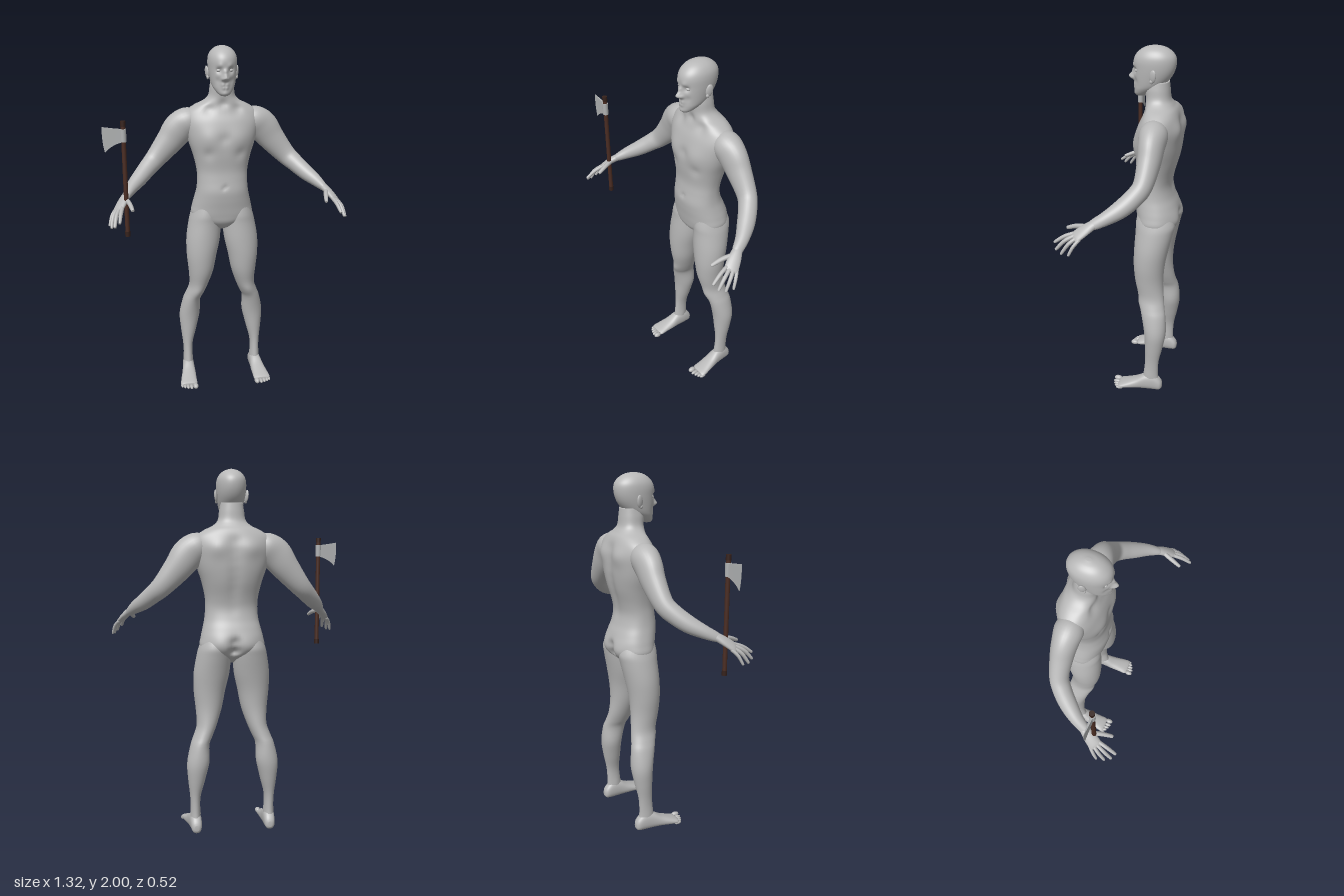
import * as THREE from 'three';

const V = (x, y, z) => new THREE.Vector3(x, y, z);
const paint = (name, color) => Object.assign(new THREE.MeshStandardMaterial({ color }), { name });

// Catmull-Rom interpolation of every column of a table of cross-sections
function refine(rows, sub) {
  const out = [], at = i => rows[Math.max(0, Math.min(rows.length - 1, i))];
  for (let i = 0; i < rows.length - 1; i++) for (let k = 0; k < sub; k++) {
    const t = k / sub;
    out.push(rows[i].map((b, j) => {
      const a = at(i - 1)[j], c = at(i + 1)[j], d = at(i + 2)[j];
      return b + 0.5 * t * (c - a + t * (2 * a - 5 * b + 4 * c - d + t * (3 * (b - c) + d - a)));
    }));
  }
  out.push(rows[rows.length - 1]);
  return out;
}

// Closed smooth skin over rings of points; faces always turned outwards
function skin(rings) {
  const n = rings[0].length, pts = rings.flat(), index = [];
  const mid = r => r.reduce((s, p) => s.add(p), V(0, 0, 0)).divideScalar(n);
  const first = pts.length, last = first + 1, end = (rings.length - 1) * n;
  pts.push(mid(rings[0]), mid(rings[rings.length - 1]));
  for (let j = 0; j < n; j++) {
    const k = (j + 1) % n;
    for (let i = 0; i < rings.length - 1; i++) {
      const a = i * n + j, b = i * n + k;
      index.push(a, b, a + n, b, b + n, a + n);
    }
    index.push(first, k, j, last, end + j, end + k);
  }
  let volume = 0;
  for (let i = 0; i < index.length; i += 3)
    volume += pts[index[i]].dot(V(0, 0, 0).crossVectors(pts[index[i + 1]], pts[index[i + 2]]));
  if (volume < 0) index.reverse();
  const g = new THREE.BufferGeometry().setFromPoints(pts);
  g.setIndex(index);
  g.computeVertexNormals();
  return g;
}

// Rows [t, centre x, half width, high side, low side]; t runs along y, or along z for feet.
// Bumps [x, y, z, radius, dx, dy, dz] swell or hollow the surface on both sides of x = 0.
function loft(rows, { axis = 'y', side = 1, power = 2, seg = 32, sub = 4, bumps = [] } = {}) {
  const pw = v => Math.sign(v) * Math.abs(v) ** (2 / power);
  return skin(refine(rows, sub).map(([t, cx, hw, hi, lo]) => Array.from({ length: seg }, (_, j) => {
    const u = j / seg * Math.PI * 2;
    const a = cx + hw * pw(Math.cos(u)), b = (hi + lo) / 2 + (hi - lo) / 2 * pw(Math.sin(u));
    const p = axis === 'y' ? V(a, t, b) : V(a, b, t), q = V(Math.abs(p.x), p.y, p.z);
    for (const [x, y, z, r, dx, dy, dz] of bumps) {
      const f = Math.exp(-q.distanceToSquared(V(x, y, z)) / (r * r));
      p.add(V(dx * f * Math.sign(p.x), dy * f, dz * f));
    }
    p.x *= side;
    return p;
  })));
}

// Rows [x, y, z, radius along hint, radius across]
function limb(rows, hint, side, seg = 20, sub = 5) {
  const r = refine(rows, sub), at = i => V(...r[Math.max(0, Math.min(r.length - 1, i))].slice(0, 3));
  return skin(r.map(([, , , ra, rb], i) => {
    const t = at(i + 1).sub(at(i - 1)).normalize();
    const a = hint.clone().addScaledVector(t, -hint.dot(t)).normalize(), b = V(0, 0, 0).crossVectors(t, a);
    return Array.from({ length: seg }, (_, j) => {
      const u = j / seg * Math.PI * 2;
      const p = at(i).addScaledVector(a, ra * Math.cos(u)).addScaledVector(b, rb * Math.sin(u));
      p.x *= side;
      return p;
    });
  }));
}

export function createModel() {
  const body = paint('body grey', 0xb8b8b8), wood = paint('dark wood', 0x4a2c22);
  const cap = paint('dark cap', 0x35211b), steel = paint('steel', 0xb0b2b3);
  const model = new THREE.Group();
  const add = (name, geometry, material = body, parent = model) => {
    const m = new THREE.Mesh(geometry, material);
    m.name = name;
    parent.add(m);
    return m;
  };

  // Torso and neck
  const torsoBumps = [
    [0.09, 1.5, 0, 0.06, 0, 0, 0.01], [0, 1.5, 0, 0.03, 0, 0, -0.008], [0.09, 1.415, -0.01, 0.03, 0, 0, -0.008],
    [0, 1.225, 0, 0.013, 0, 0, -0.01], [0, 1.69, -0.055, 0.025, 0, 0, -0.01], [0.08, 1.66, -0.05, 0.03, 0, 0, -0.012],
    [0.075, 1.06, -0.24, 0.055, 0, 0, -0.012], [0, 1.03, -0.24, 0.028, 0, 0, 0.035],
    [0, 1.08, -0.25, 0.025, 0, 0, 0.02], [0.09, 1.58, -0.24, 0.05, 0, 0, -0.012]];
  for (let y = 1.26; y < 1.65; y += 0.05) torsoBumps.push([0, y, -0.235, 0.033, 0, 0, 0.009]);
  add('torso', loft([
    [0.955, 0, 0.015, -0.1, -0.13], [0.975, 0, 0.06, -0.06, -0.17], [1.01, 0, 0.135, -0.03, -0.225],
    [1.05, 0, 0.178, -0.02, -0.246], [1.1, 0, 0.172, -0.012, -0.248], [1.15, 0, 0.16, -0.004, -0.235],
    [1.2, 0, 0.149, 0, -0.215], [1.26, 0, 0.144, -0.008, -0.203], [1.32, 0, 0.147, -0.013, -0.212],
    [1.4, 0, 0.165, -0.005, -0.235], [1.47, 0, 0.188, -0.003, -0.247], [1.53, 0, 0.203, -0.008, -0.25],
    [1.59, 0, 0.213, -0.022, -0.248], [1.64, 0, 0.2, -0.042, -0.236], [1.675, 0, 0.155, -0.052, -0.222],
    [1.7, 0, 0.104, -0.054, -0.203], [1.73, 0, 0.075, -0.054, -0.186], [1.78, 0, 0.067, -0.05, -0.18],
    [1.82, 0, 0.06, -0.06, -0.175]], { power: 2.25, seg: 72, sub: 5, bumps: torsoBumps }));

  // Head with brow, nose, eye sockets, mouth and chin
  add('head', loft([
    [1.737, 0, 0.018, -0.003, -0.04], [1.75, 0, 0.036, 0.006, -0.07], [1.775, 0, 0.055, 0.006, -0.11],
    [1.8, 0, 0.066, 0.006, -0.15], [1.84, 0, 0.074, 0.011, -0.185], [1.88, 0, 0.079, 0.012, -0.204],
    [1.92, 0, 0.08, 0.013, -0.21], [1.95, 0, 0.074, 0.002, -0.203], [1.975, 0, 0.058, -0.022, -0.18],
    [1.991, 0, 0.035, -0.052, -0.15], [1.999, 0, 0.008, -0.09, -0.115]], {
    power: 2.1, seg: 96, sub: 8, bumps: [
      [0, 1.832, 0.012, 0.014, 0, 0, 0.028], [0, 1.848, 0.012, 0.012, 0, 0, 0.014], [0, 1.868, 0.012, 0.012, 0, 0, 0.011],
      [0.014, 1.829, 0.012, 0.009, 0.003, 0, 0.009], [0.033, 1.874, 0.002, 0.017, 0, 0, -0.013],
      [0.028, 1.897, 0.008, 0.015, 0, 0, 0.005], [0.012, 1.798, 0.008, 0.012, 0, 0, 0.007],
      [0.008, 1.781, 0.008, 0.011, 0, 0, 0.006], [0.01, 1.79, 0.012, 0.006, 0, 0, -0.005],
      [0, 1.752, 0.006, 0.018, 0, 0, 0.005], [0.04, 1.82, -0.002, 0.018, 0, 0, -0.005]] }));

  const spread = V(-0.035, 0.01, 0.045).normalize();
  for (const side of [1, -1]) {
    const tag = side > 0 ? 'left' : 'right';
    const ball = (name, x, y, z, sx, sy, sz) => {
      const m = add(tag + name, new THREE.SphereGeometry(1, 20, 14));
      m.position.set(x * side, y, z);
      m.scale.set(sx, sy, sz);
      return m;
    };

    // Eyes and ears
    ball('Eye', 0.033, 1.873, -0.011, 0.013, 0.009, 0.011);
    ball('Ear', 0.083, 1.857, -0.106, 0.009, 0.034, 0.019).rotation.set(-0.15, -0.3 * side, -0.12 * side);
    ball('EarLobe', 0.08, 1.83, -0.098, 0.008, 0.012, 0.01);

    // Leg
    add(tag + 'Leg', loft([
      [1.11, 0.09, 0.07, -0.035, -0.222], [1.05, 0.097, 0.085, -0.025, -0.243], [1, 0.101, 0.094, -0.025, -0.236],
      [0.9, 0.112, 0.099, -0.02, -0.214], [0.8, 0.123, 0.088, -0.02, -0.196], [0.7, 0.128, 0.073, -0.03, -0.19],
      [0.61, 0.141, 0.056, -0.052, -0.198], [0.55, 0.163, 0.053, -0.066, -0.208], [0.5, 0.183, 0.052, -0.08, -0.219],
      [0.4, 0.196, 0.06, -0.1, -0.226], [0.3, 0.203, 0.047, -0.107, -0.211], [0.2, 0.21, 0.029, -0.11, -0.191],
      [0.1, 0.209, 0.027, -0.1, -0.188], [0.05, 0.21, 0.03, -0.09, -0.198], [0.03, 0.21, 0.02, -0.1, -0.19]], {
      side, seg: 40, bumps: [[0.15, 0.57, -0.06, 0.035, 0, 0, 0.007], [0.21, 0.1, -0.14, 0.03, 0.006, 0, 0],
        [0.18, 0.1, -0.14, 0.025, -0.005, 0, 0], [0.16, 0.42, -0.2, 0.06, -0.006, 0, 0]] }));

    // Foot and toes
    add(tag + 'Foot', loft([
      [-0.213, 0.208, 0.012, 0.05, 0.02], [-0.2, 0.208, 0.027, 0.075, 0.004], [-0.16, 0.209, 0.033, 0.108, 0],
      [-0.11, 0.212, 0.036, 0.1, 0], [-0.06, 0.216, 0.042, 0.07, 0.002], [-0.01, 0.222, 0.047, 0.049, 0.002],
      [0.03, 0.225, 0.05, 0.034, 0.002], [0.045, 0.225, 0.042, 0.026, 0.006]], { axis: 'z', side, power: 2.3 }));
    [[0.189, 0.062, 0.0155, 0.024], [0.214, 0.06, 0.0105, 0.024], [0.234, 0.054, 0.01, 0.023],
      [0.252, 0.046, 0.0095, 0.022], [0.267, 0.036, 0.009, 0.021]].forEach(([x, z, r, len], i) =>
      ball('Toe' + (i + 1), x, r + 0.001, z, r, r, len));

    // Arm
    add(tag + 'Arm', limb([
      [0.12, 1.6, -0.14, 0.05, 0.045], [0.185, 1.588, -0.14, 0.074, 0.078], [0.24, 1.545, -0.142, 0.068, 0.088],
      [0.295, 1.475, -0.143, 0.06, 0.076], [0.375, 1.382, -0.132, 0.05, 0.058], [0.425, 1.335, -0.098, 0.049, 0.05],
      [0.475, 1.29, -0.045, 0.046, 0.044], [0.52, 1.255, 0.015, 0.036, 0.034], [0.55, 1.228, 0.07, 0.028, 0.022],
      [0.56, 1.22, 0.085, 0.02, 0.015]], V(0, 0, 1), side, 32));

    // Palm, fingers and thumb
    add(tag + 'Palm', limb([
      [0.54, 1.237, 0.05, 0.024, 0.018], [0.554, 1.226, 0.075, 0.027, 0.02], [0.574, 1.205, 0.108, 0.034, 0.018],
      [0.596, 1.177, 0.145, 0.036, 0.014], [0.604, 1.168, 0.158, 0.03, 0.007]], spread, side));
    const finger = (name, base, joint, tip, r) => {
      const end = base.map((_, i) => tip[i] + (tip[i] - joint[i]) * 0.08);
      add(tag + name, limb([[...base, r, r], [...joint, r, r], [...tip, r * 0.75, r * 0.75], [...end, r * 0.25, r * 0.25]],
        spread, side, 12, 4));
    };
    finger('IndexFinger', [0.578, 1.185, 0.158], [0.588, 1.165, 0.21], [0.596, 1.133, 0.257], 0.0105);
    finger('MiddleFinger', [0.592, 1.18, 0.15], [0.611, 1.153, 0.2], [0.621, 1.108, 0.242], 0.0105);
    finger('RingFinger', [0.604, 1.174, 0.138], [0.627, 1.145, 0.176], [0.638, 1.096, 0.21], 0.01);
    finger('LittleFinger', [0.612, 1.17, 0.122], [0.635, 1.14, 0.148], [0.648, 1.096, 0.17], 0.009);
    finger('Thumb', [0.562, 1.22, 0.09], [0.54, 1.207, 0.155], [0.526, 1.185, 0.212], 0.0125);
  }

  // Axe standing in the right hand
  const axe = new THREE.Group();
  axe.name = 'axe';
  axe.position.set(-0.555, 0, 0.125);
  model.add(axe);
  add('shaft', new THREE.CylinderGeometry(0.012, 0.012, 0.58, 16), wood, axe).position.y = 1.327;
  for (const y of [1.029, 1.626])
    add('shaftEnd', new THREE.CylinderGeometry(0.014, 0.014, 0.028, 16), cap, axe).position.y = y;
  add('socket', new THREE.CylinderGeometry(0.0155, 0.0155, 0.068, 16), steel, axe).position.y = 1.565;
  const outline = new THREE.Shape();
  outline.moveTo(-0.01, 1.598);
  outline.quadraticCurveTo(-0.05, 1.602, -0.108, 1.612);
  outline.quadraticCurveTo(-0.113, 1.54, -0.098, 1.478);
  outline.quadraticCurveTo(-0.065, 1.515, -0.01, 1.53);
  const blade = new THREE.ExtrudeGeometry(outline, { depth: 0.016, bevelEnabled: false, curveSegments: 8 });
  const pos = blade.attributes.position;
  for (let i = 0; i < pos.count; i++) // thin towards the cutting edge
    pos.setZ(i, (pos.getZ(i) - 0.008) * Math.max(0.1, 1 + pos.getX(i) / 0.115));
  blade.computeVertexNormals();
  add('blade', blade, steel, axe);
  return model;
}
